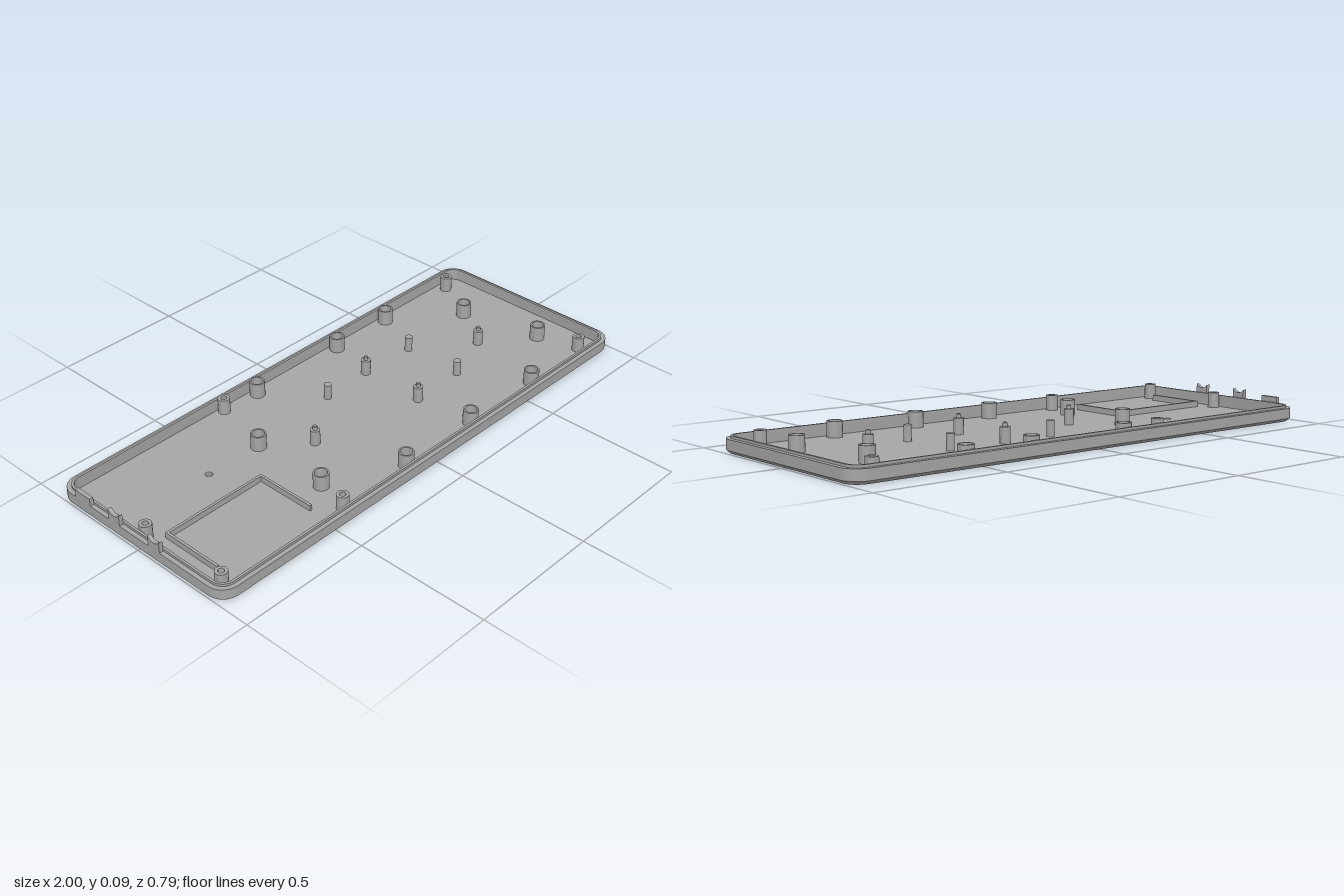
import * as THREE from 'three';
import { toCreasedNormals } from 'three/addons/utils/BufferGeometryUtils.js';

const HX = 1, HZ = 0.396, CORNER = 0.065, FLOOR = 0.014, BOSS = 0.072;

// Rounded rectangle outline, inset from the outer edge
function outline(inset) {
  const r = CORNER - inset, pts = [], n = 8;
  const signs = [[1, 1], [-1, 1], [-1, -1], [1, -1]];
  signs.forEach(([sx, sz], q) => {
    for (let i = 0; i <= n; i++) {
      const a = (q + i / n) * Math.PI / 2;
      pts.push(new THREE.Vector2(sx * (HX - CORNER) + r * Math.cos(a), sz * (HZ - CORNER) + r * Math.sin(a)));
    }
  });
  return pts;
}

// Wall swept through [inset, y] steps
function wallGeometry(profile) {
  const rings = profile.map(([inset, y]) => outline(inset).map(p => [p.x, y, p.y]));
  const pos = [];
  for (let k = 0; k < rings.length - 1; k++) {
    const lo = rings[k], hi = rings[k + 1];
    for (let i = 0; i < lo.length; i++) {
      const j = (i + 1) % lo.length;
      pos.push(...lo[i], ...hi[i], ...hi[j], ...lo[i], ...hi[j], ...lo[j]);
    }
  }
  const g = new THREE.BufferGeometry();
  g.setAttribute('position', new THREE.Float32BufferAttribute(pos, 3));
  return toCreasedNormals(g, 0.5);
}

// Flat plate with round holes, facing up or down
function plateGeometry(inset, holes, up) {
  const s = up ? -1 : 1;
  const shape = new THREE.Shape(outline(inset));
  for (const [x, z, r] of holes) {
    shape.holes.push(new THREE.Path().absarc(x, s * z, r, 0, Math.PI * 2, true));
  }
  return new THREE.ShapeGeometry(shape, 16).rotateX(s * Math.PI / 2);
}

function turned(points) {
  const g = new THREE.LatheGeometry(points.map(([r, y]) => new THREE.Vector2(r, y)), 28);
  return toCreasedNormals(g, 0.5);
}

export function createModel() {
  const group = new THREE.Group();
  const grey = new THREE.MeshStandardMaterial({ color: 0xa6a6a6 });
  grey.name = 'grey plastic';
  const add = (name, geometry, x = 0, y = 0, z = 0) => {
    const mesh = new THREE.Mesh(geometry, grey);
    mesh.name = name;
    mesh.position.set(x, y, z);
    group.add(mesh);
  };

  const screws = [[-0.305, -0.348], [0.885, -0.33], [-0.95, -0.015], [-0.94, 0.327], [-0.415, 0.337], [0.885, 0.322]];
  const cups = [[-0.15, -0.34], [0.265, -0.34], [0.535, -0.34], [0.78, -0.15], [-0.37, -0.105],
    [-0.38, 0.205], [-0.1, 0.333], [0.24, 0.333], [0.585, 0.333], [0.845, 0.16]];
  const pins = [[0.22, -0.15], [0.22, 0.105], [-0.22, 0.02], [0.66, 0.02]];
  const posts = [[0.008, -0.14], [0.445, -0.14], [0.445, 0.098]];
  const vent = [-0.592, -0.115, 0.013];

  // Tray: chamfered wall with stepped lip, floor and underside
  add('trayWall', wallGeometry([[0.013, 0], [0, 0.012], [0, 0.05], [0.016, 0.05],
    [0.016, 0.059], [0.025, 0.059], [0.025, FLOOR]]));
  add('trayFloor', plateGeometry(0.025, [...screws.map(p => [...p, 0.02]), vent], true), 0, FLOOR, 0);
  add('trayUnderside', plateGeometry(0.013, [...screws.map(p => [...p, 0.016]), vent], false));
  add('resetHole', turned([[0.013, FLOOR], [0.013, 0]]), vent[0], 0, vent[1]);

  // Screw bosses, counterbored from below
  const screwBoss = turned([[0.022, FLOOR], [0.022, BOSS], [0.011, BOSS], [0.011, 0.03], [0.016, 0.03], [0.016, 0]]);
  screws.forEach(([x, z]) => add('screwBoss', screwBoss, x, 0, z));

  // Hollow support bosses
  const cup = turned([[0.028, FLOOR], [0.028, BOSS], [0.022, BOSS], [0.022, 0.03], [0, 0.03]]);
  cups.forEach(([x, z]) => add('supportBoss', cup, x, 0, z));

  // Locating pins with a shoulder, and plain posts
  const pin = turned([[0.018, FLOOR], [0.018, BOSS], [0.008, BOSS], [0.008, 0.085], [0.006, 0.087], [0, 0.087]]);
  pins.forEach(([x, z]) => add('locatingPin', pin, x, 0, z));
  const post = turned([[0.014, FLOOR], [0.014, BOSS], [0, BOSS]]);
  posts.forEach(([x, z]) => add('supportPost', post, x, 0, z));

  // Low three-sided rib around the battery bay
  const ribH = 0.022;
  const ribY = FLOOR + ribH / 2;
  add('bayRibBack', new THREE.BoxGeometry(0.42, ribH, 0.01), -0.7, ribY, 0.036);
  for (const x of [-0.905, -0.495]) {
    add('bayRibSide', new THREE.BoxGeometry(0.01, ribH, 0.23), x, ribY, 0.156);
  }

  // Connector tabs on the end wall: two scooped cradles and one flat tab
  const cradle = new THREE.Shape();
  cradle.moveTo(-0.027, 0.05);
  cradle.lineTo(0.027, 0.05);
  cradle.lineTo(0.027, 0.091);
  cradle.quadraticCurveTo(0.016, 0.077, 0, 0.077);
  cradle.quadraticCurveTo(-0.016, 0.077, -0.027, 0.091);
  cradle.closePath();
  const cradleGeo = new THREE.ExtrudeGeometry(cradle, { depth: 0.015, bevelEnabled: false, curveSegments: 8 })
    .rotateY(-Math.PI / 2);
  for (const z of [0.082, -0.111]) add('connectorCradle', cradleGeo, -0.985, 0, z);
  add('connectorTab', new THREE.BoxGeometry(0.015, 0.029, 0.075), -0.9925, 0.0645, -0.268);

  return group;
}
